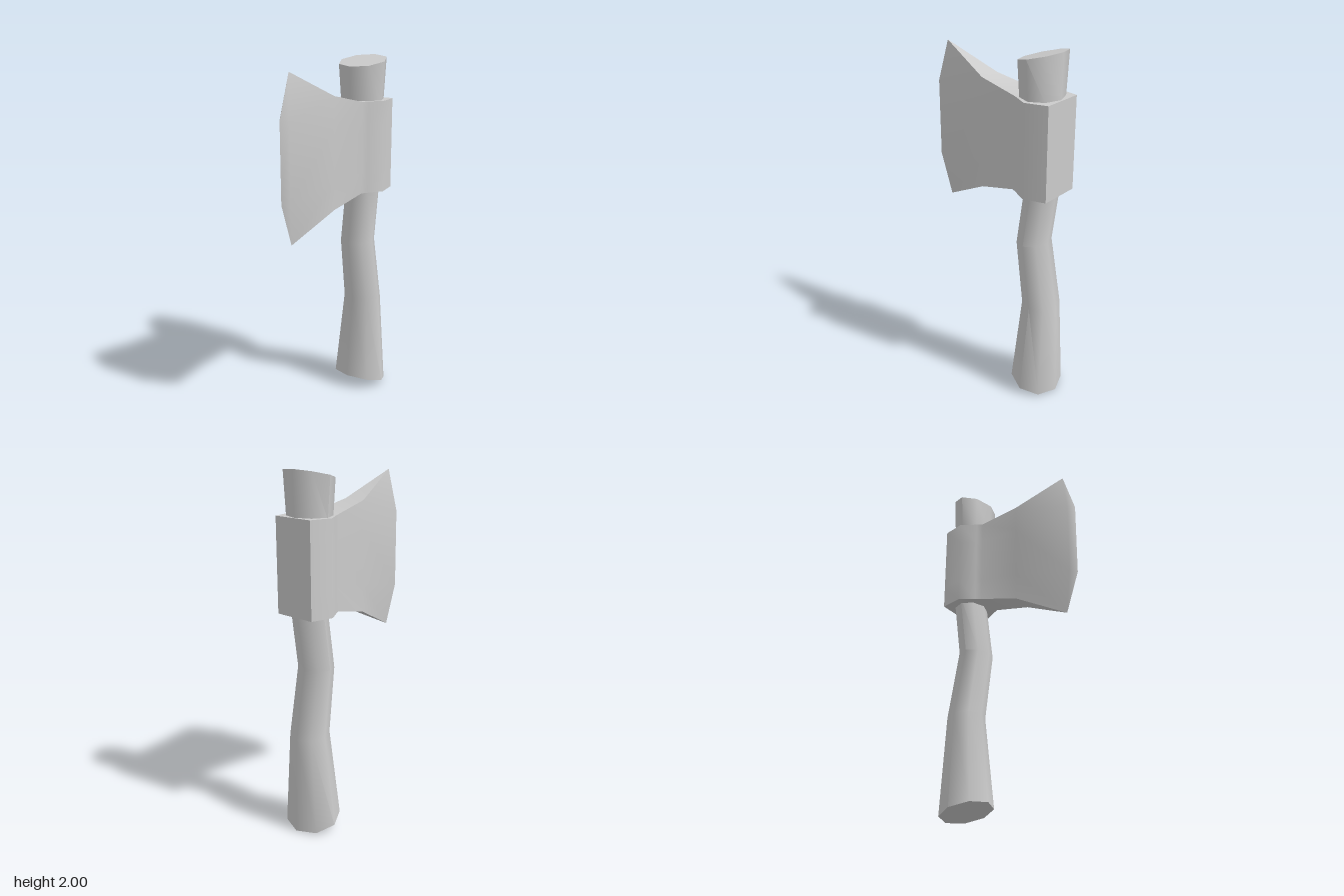
import * as THREE from 'three';
import { toCreasedNormals } from 'three/addons/utils/BufferGeometryUtils.js';

const material = new THREE.MeshStandardMaterial({ color: 0xcccccc });

// Collects quads and triangles, dropping collapsed ones
function meshBuilder() {
  const pos = [];
  const tri = (a, b, c) => {
    if (new THREE.Triangle(a, b, c).getArea() > 1e-7) {
      for (const p of [a, b, c]) pos.push(p.x, p.y, p.z);
    }
  };
  const quad = (a, b, c, d) => { tri(a, b, c); tri(a, c, d); };
  const build = (name) => {
    const geometry = new THREE.BufferGeometry();
    geometry.setAttribute('position', new THREE.Float32BufferAttribute(pos, 3));
    const mesh = new THREE.Mesh(toCreasedNormals(geometry, 0.9), material);
    mesh.name = name;
    return mesh;
  };
  return { tri, quad, build };
}

// Curved octagonal handle, lofted through tilted rings
function createHandle() {
  const SIDES = 8;
  // left x, left y, right x, right y, half depth
  const sections = [
    [0.148, 0.08, 0.425, 0, 0.165],
    [0.202, 0.58, 0.406, 0.555, 0.115],
    [0.155, 0.935, 0.338, 0.945, 0.105],
    [0.207, 1.30, 0.386, 1.30, 0.104],
    [0.168, 1.74, 0.392, 1.76, 0.127],
    [0.16, 1.945, 0.398, 2, 0.145],
  ];
  const rings = sections.map(([lx, ly, rx, ry, depth]) =>
    Array.from({ length: SIDES }, (_, j) => {
      const a = (j / SIDES) * Math.PI * 2;
      const t = (1 + Math.cos(a)) / 2;
      return new THREE.Vector3(lx + (rx - lx) * t, ly + (ry - ly) * t, depth * Math.sin(a));
    }));

  const m = meshBuilder();
  for (let i = 0; i < rings.length - 1; i++) {
    for (let j = 0; j < SIDES; j++) {
      const k = (j + 1) % SIDES;
      m.quad(rings[i][j], rings[i + 1][j], rings[i + 1][k], rings[i][k]);
    }
  }
  // Flat slanted ends
  const bottom = rings[0], top = rings[rings.length - 1];
  for (let j = 1; j < SIDES - 1; j++) {
    m.tri(bottom[0], bottom[j], bottom[j + 1]);
    m.tri(top[0], top[j + 1], top[j]);
  }
  return m.build('handle');
}

// Axe head: columns from cutting edge to poll, mirrored in y and z
function createHead() {
  const MID_Y = 1.505;
  // outer x, outer z, outer half height, inner x, inner z, inner half height
  const columns = [
    [-0.355, 0, 0.45, -0.43, 0, 0.215],
    [-0.355, 0, 0.45, -0.395, 0.03, 0.215],
    [-0.065, 0.064, 0.308, -0.065, 0.064, 0.15],
    [0.16, 0.085, 0.257, 0.16, 0.085, 0.13],
    [0.192, 0.102, 0.257, 0.192, 0.102, 0.13],
    [0.275, 0.153, 0.257, 0.275, 0.153, 0.13],
    [0.402, 0.122, 0.257, 0.402, 0.122, 0.13],
  ];
  const side = (s) => columns.map(([ox, oz, oh, ix, iz, ih]) => [
    new THREE.Vector3(ox, MID_Y - oh, s * oz),
    new THREE.Vector3(ix, MID_Y - ih, s * iz),
    new THREE.Vector3(ix, MID_Y + ih, s * iz),
    new THREE.Vector3(ox, MID_Y + oh, s * oz),
  ]);
  const front = side(1), back = side(-1);

  const m = meshBuilder();
  for (let i = 0; i < columns.length - 1; i++) {
    // Cheeks
    for (let k = 0; k < 3; k++) {
      m.quad(front[i][k], front[i + 1][k], front[i + 1][k + 1], front[i][k + 1]);
      m.quad(back[i][k], back[i][k + 1], back[i + 1][k + 1], back[i + 1][k]);
    }
    // Upper and lower faces
    m.quad(front[i][3], front[i + 1][3], back[i + 1][3], back[i][3]);
    m.quad(front[i][0], back[i][0], back[i + 1][0], front[i + 1][0]);
  }
  // Flat poll
  const f = front[columns.length - 1], b = back[columns.length - 1];
  for (let k = 0; k < 3; k++) m.quad(f[k], b[k], b[k + 1], f[k + 1]);
  return m.build('axeHead');
}

export function createModel() {
  const group = new THREE.Group();
  group.name = 'axe';
  group.add(createHandle(), createHead());
  return group;
}
